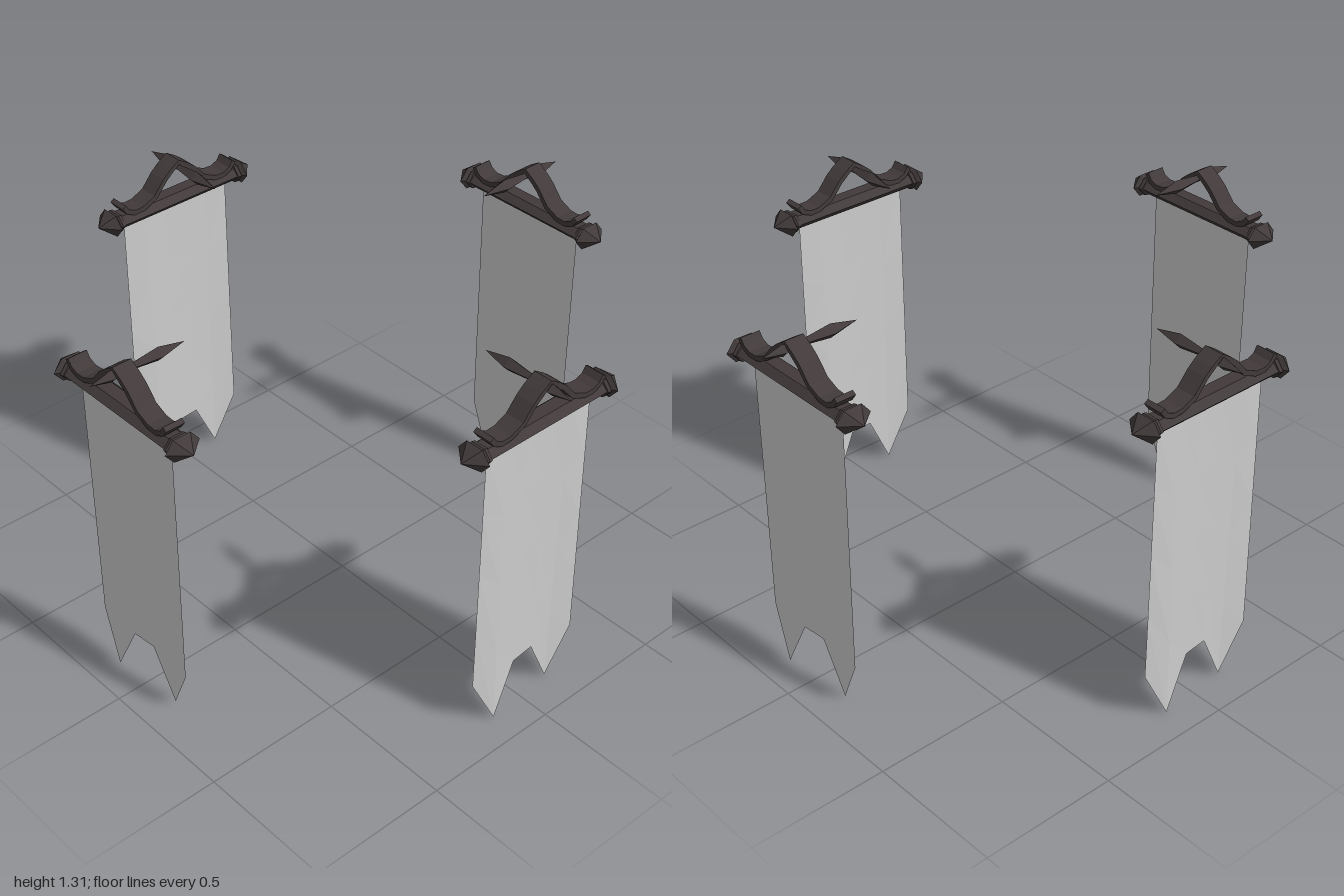
import * as THREE from 'three';

const iron = new THREE.MeshStandardMaterial({ color: 0x423a3a, flatShading: true });
iron.name = 'dark iron';
const cloth = new THREE.MeshStandardMaterial({ color: 0xcccccc, flatShading: true, side: THREE.DoubleSide });
cloth.name = 'pale cloth';

function mesh(name, geometry, material) {
  const m = new THREE.Mesh(geometry, material);
  m.name = name;
  return m;
}

// Faceted turned part; profile is [radius, position along axis]
function turned(profile, sides) {
  return new THREE.LatheGeometry(profile.map(([r, t]) => new THREE.Vector2(r, t)), sides);
}

// Bent strap: a centre line thickened in x/y and extruded along z
function strapGeometry(line, thickness, width) {
  const upper = [], lower = [];
  line.forEach(([x, y], i) => {
    const a = line[Math.max(i - 1, 0)], b = line[Math.min(i + 1, line.length - 1)];
    const dx = b[0] - a[0], dy = b[1] - a[1];
    const s = thickness / 2 / Math.hypot(dx, dy);
    upper.push(new THREE.Vector2(x - dy * s, y + dx * s));
    lower.unshift(new THREE.Vector2(x + dy * s, y - dx * s));
  });
  const shape = new THREE.Shape([...upper, ...lower]);
  return new THREE.ExtrudeGeometry(shape, { depth: width, bevelEnabled: false }).translate(0, 0, -width / 2);
}

// Five gently pleated columns, with two points at the hem
function clothGeometry() {
  const xs = [-0.225, -0.135, -0.045, 0.045, 0.135, 0.225];
  const hem = [0.185, 0, 0.19, 0.19, 0, 0.185];
  const fold = [-0.005, 0.013, 0.004, -0.004, -0.013, 0.005];
  const rows = 4, top = 1.14, pos = [], index = [];
  for (let r = 0; r <= rows; r++) {
    xs.forEach((x, i) => {
      const y = top + (hem[i] - top) * r / rows;
      pos.push(x, y, fold[i] * r / rows);
    });
  }
  for (let r = 0; r < rows; r++) {
    for (let i = 0; i < 5; i++) {
      const a = r * 6 + i, b = a + 6;
      index.push(a, b, b + 1, a, b + 1, a + 1);
    }
  }
  const g = new THREE.BufferGeometry();
  g.setAttribute('position', new THREE.Float32BufferAttribute(pos, 3));
  g.setIndex(index);
  g.computeVertexNormals();
  return g;
}

function createBanner() {
  const banner = new THREE.Group();
  banner.add(mesh('cloth', clothGeometry(), cloth));

  // Flattened six-sided crossbar
  const bar = turned([[0, -0.26], [0.046, -0.26], [0.046, 0.26], [0, 0.26]], 6);
  bar.rotateZ(-Math.PI / 2).scale(1, 0.6, 1).translate(0, 1.153, 0);
  banner.add(mesh('crossbar', bar, iron));

  // Collared, pointed finials
  for (const side of [-1, 1]) {
    const finial = turned([[0, 0.24], [0.05, 0.25], [0.053, 0.262], [0.046, 0.267], [0.065, 0.277], [0, 0.332]], 6);
    finial.rotateZ(-Math.PI / 2).scale(1, 0.72, 1);
    if (side < 0) finial.rotateY(Math.PI);
    finial.translate(0, 1.153, 0);
    banner.add(mesh(side > 0 ? 'leftFinial' : 'rightFinial', finial, iron));
  }

  // Arched strap with upturned ends
  const half = [[0.242, 1.214], [0.225, 1.19], [0.195, 1.177], [0.158, 1.179], [0.107, 1.202], [0.064, 1.252], [0.035, 1.276]];
  const line = [...half.map(([x, y]) => [-x, y]), [0, 1.3], ...half.slice().reverse()];
  banner.add(mesh('archedStrap', strapGeometry(line, 0.018, 0.07), iron));

  // Four-sided spike through the top of the arch
  const spike = turned([[0, -0.236], [0.025, -0.135], [0.013, -0.04], [0.014, 0.03], [0.022, 0.042], [0, 0.12]], 4);
  spike.rotateX(Math.PI / 2).translate(0, 1.28, 0);
  banner.add(mesh('spike', spike, iron));
  return banner;
}

export function createModel() {
  const model = new THREE.Group();
  model.name = 'bannerSet';
  // Four banners, each facing outward
  ['front', 'left', 'back', 'right'].forEach((name, i) => {
    const banner = createBanner();
    const angle = i * Math.PI / 2;
    banner.name = name + 'Banner';
    banner.rotation.y = angle;
    banner.position.set(Math.sin(angle) * 0.88, 0, Math.cos(angle) * 0.88);
    model.add(banner);
  });
  return model;
}
